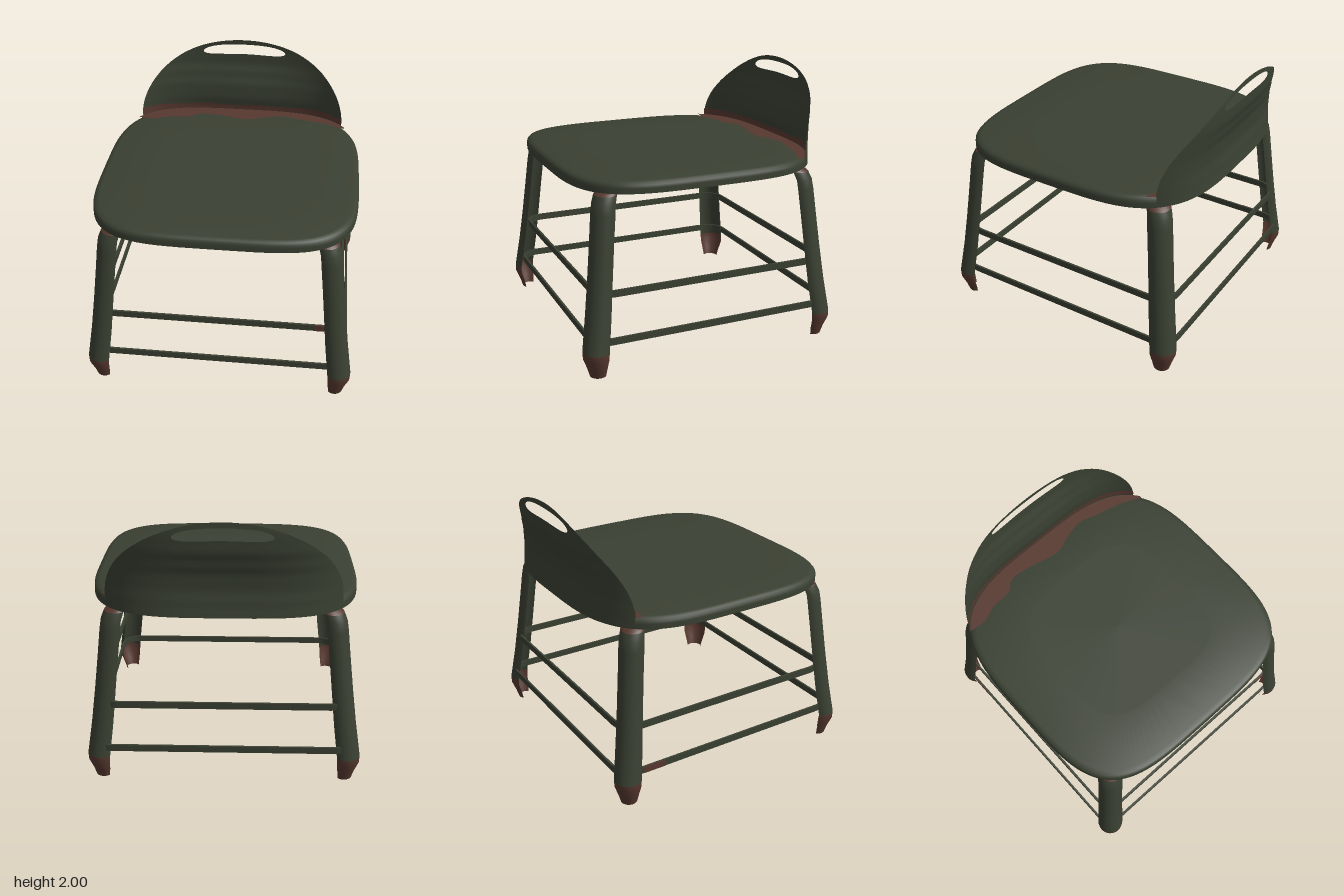
import * as THREE from 'three';
import { toCreasedNormals } from 'three/addons/utils/BufferGeometryUtils.js';

const paint = new THREE.MeshStandardMaterial({ color: 0x3a4032, side: THREE.DoubleSide });
paint.name = 'dark green paint';
const rust = new THREE.MeshStandardMaterial({ color: 0x57382f, side: THREE.DoubleSide });
rust.name = 'brown rust';

// Skin a surface over rows of [x, y, z] points
function loft(rows) {
  const n = rows[0].length, index = [];
  for (let i = 0; i < rows.length - 1; i++) {
    for (let j = 0; j < n - 1; j++) {
      const a = i * n + j, b = a + n;
      index.push(a, a + 1, b, b, a + 1, b + 1);
    }
  }
  const g = new THREE.BufferGeometry();
  g.setAttribute('position', new THREE.Float32BufferAttribute(rows.flat(2), 3));
  g.setIndex(index);
  g.computeVertexNormals();
  return g;
}

function add(parent, name, geometry, material) {
  const m = new THREE.Mesh(geometry, material);
  m.name = name;
  parent.add(m);
  return m;
}

// Rounded-square seat plan; the back corners are a little softer
function seatRing(scale, y) {
  const pts = [];
  for (let i = 0; i <= 96; i++) {
    const t = (i / 96) * Math.PI * 2, c = Math.cos(t), s = Math.sin(t);
    const e = 2 / (s > 0 ? 4 : 3.5), d = s > 0 ? 0.97 : 0.955;
    pts.push([0.98 * scale * Math.sign(c) * Math.abs(c) ** e, y, d * scale * Math.sign(s) * Math.abs(s) ** e]);
  }
  return pts;
}
const backEdge = (x, depth) => -depth * (1 - (Math.abs(x) / 0.98) ** 3.5) ** (1 / 3.5);

function makeSeat() {
  const seat = new THREE.Group();
  seat.name = 'seat';
  const skin = (list) => toCreasedNormals(loft(list.map(([s, y]) => seatRing(s, y))), 0.7);
  add(seat, 'seatPan', skin([[0.001, 1.385], [0.6, 1.385], [0.955, 1.384], [0.985, 1.376], [0.998, 1.36], [1, 1.34], [1, 1.303], [0.985, 1.303]]), paint);
  add(seat, 'rustyInnerRim', skin([[0.985, 1.303], [0.978, 1.36], [0.9, 1.364]]), rust);
  add(seat, 'seatUnderside', skin([[0.9, 1.364], [0.5, 1.366], [0.001, 1.366]]), paint);

  // Wavy rust patch along the back of the seat
  const edge = [[-0.86, -0.71], [-0.73, -0.7], [-0.6, -0.75], [-0.45, -0.76], [-0.35, -0.83], [-0.2, -0.82], [0.05, -0.77],
    [0.2, -0.82], [0.35, -0.85], [0.5, -0.81], [0.7, -0.76], [0.86, -0.69]];
  const curve = new THREE.SplineCurve(edge.map(([x, z]) => new THREE.Vector2(x, z)));
  const front = curve.getPoints(60).map((p) => [p.x, 1.388, p.y]);
  const back = front.map(([x, y, z]) => [x, y, Math.min(z, backEdge(x, 0.945))]);
  add(seat, 'seatRust', loft([front, back]), rust);
  return seat;
}

// Depth of the backrest sheet: follows the seat edge, dips forward, then leans back
const bend = [[1.3, 0], [1.4, 0.015], [1.5, 0.03], [1.6, 0.025], [1.7, 0], [1.8, -0.026], [1.9, -0.03], [2.01, -0.022]];
function backZ(x, y) {
  let i = 0;
  while (i < bend.length - 2 && y > bend[i + 1][0]) i++;
  const [y0, z0] = bend[i], [y1, z1] = bend[i + 1];
  const t = THREE.MathUtils.smoothstep(y, y0, y1);
  return backEdge(x, 0.97) + (z0 + (z1 - z0) * t) * (1 - (x / 0.84) ** 2);
}

function makeBackrest() {
  const group = new THREE.Group();
  group.name = 'backrest';
  const W = 0.835, S = 0.34, base = 1.31;
  const top = (x) => 1.4 + 0.6 * Math.sqrt(Math.max(0, 1 - (x / W) ** 2));
  const slotMid = (x) => 1.917 - 0.2 * x * x;
  const split = (slotMid(S) - base) / (top(S) - base);
  // Columns bunch up at the outer edge and at the slot ends
  const xs = [];
  for (let i = 16; i > 0; i--) xs.push(-S - (W - S) * Math.sin((i / 16) * Math.PI / 2));
  for (let i = -14; i <= 14; i++) xs.push(S * Math.sin((i / 14) * Math.PI / 2));
  for (let i = 1; i <= 16; i++) xs.push(S + (W - S) * Math.sin((i / 16) * Math.PI / 2));
  const slot = (x, side) => (Math.abs(x) >= S - 1e-6
    ? base + (top(x) - base) * split
    : slotMid(x) + side * 0.043 * Math.sqrt(1 - (x / S) ** 4));
  const sheet = (low, high, n, dz = 0) => {
    const rows = [];
    for (let j = 0; j <= n; j++) {
      rows.push(xs.map((x) => {
        const y = low(x) + (high(x) - low(x)) * (j / n);
        return [x, y, backZ(x, y) + dz];
      }));
    }
    return loft(rows);
  };
  add(group, 'backPanel', sheet(() => base, (x) => slot(x, -1), 22), paint);
  add(group, 'handleRail', sheet((x) => slot(x, 1), top, 6), paint);
  add(group, 'backRust', sheet(() => 1.386, (x) => Math.min(top(x), 1.43 + 0.012 * x * x + 0.005 * Math.sin(x * 14)), 3, 0.006), rust);
  return group;
}

// Open half-pipe leg: stops are [height, distance from centre, radius]
const foot = [[0, 0.89, 0.06], [0.06, 0.893, 0.075], [0.14, 0.902, 0.097], [0.19, 0.901, 0.1]];
const shaft = [[0.19, 0.901, 0.1], [0.45, 0.867, 0.096], [0.7, 0.84, 0.092], [0.95, 0.814, 0.09], [1.15, 0.793, 0.09], [1.22, 0.784, 0.088], [1.275, 0.765, 0.085]];
const cap = [[1.275, 0.765, 0.085], [1.3, 0.745, 0.08], [1.325, 0.71, 0.07]];

function makeLeg(name, sx, sz) {
  const leg = new THREE.Group();
  leg.name = name;
  const inset = sz < 0 ? 0.025 : 0;
  const channel = (stops) => loft(stops.map(([y, c, r]) => {
    const row = [];
    for (let i = 0; i <= 16; i++) {
      const a = -Math.PI / 4 + (i / 16) * Math.PI;
      row.push([sx * (c + r * Math.cos(a)), y, sz * (c - inset + r * Math.sin(a))]);
    }
    return row;
  }));
  add(leg, 'rustyFoot', channel(foot), rust);
  add(leg, 'legShaft', channel(shaft), paint);
  add(leg, 'rustyLegTop', channel(cap), rust);
  return leg;
}

// Flat bar bent into a rounded-square hoop
function hoopPath(target, w, d, r) {
  target.moveTo(-w + r, -d);
  target.lineTo(w - r, -d).absarc(w - r, -d + r, r, -Math.PI / 2, 0);
  target.lineTo(w, d - r).absarc(w - r, d - r, r, 0, Math.PI / 2);
  target.lineTo(-w + r, d).absarc(-w + r, d - r, r, Math.PI / 2, Math.PI);
  target.lineTo(-w, -d + r).absarc(-w + r, -d + r, r, Math.PI, Math.PI * 1.5);
  return target;
}
function makeBrace(w, d, y) {
  const t = 0.016, r = 0.15;
  const shape = hoopPath(new THREE.Shape(), w, d, r);
  shape.holes.push(hoopPath(new THREE.Path(), w - t, d - t, r - t));
  const g = new THREE.ExtrudeGeometry(shape, { depth: 0.05, bevelEnabled: false, curveSegments: 8 });
  g.rotateX(-Math.PI / 2);
  g.translate(0, y - 0.025, -0.008);
  return toCreasedNormals(g, 0.6);
}

export function createModel() {
  const chair = new THREE.Group();
  chair.name = 'metalChair';
  chair.add(makeSeat(), makeBackrest());
  for (const [side, sx] of [['Left', 1], ['Right', -1]]) {
    chair.add(makeLeg('front' + side + 'Leg', sx, 1), makeLeg('back' + side + 'Leg', sx, -1));
  }
  add(chair, 'lowerBrace', makeBrace(0.965, 0.955, 0.267), paint);
  add(chair, 'upperBrace', makeBrace(0.917, 0.91, 0.6), paint);

  // Rust spots on the braces
  add(chair, 'upperBraceRust', new THREE.BoxGeometry(0.07, 0.051, 0.006), rust).position.set(0.745, 0.6, 0.901);
  add(chair, 'lowerBraceRust', new THREE.BoxGeometry(0.006, 0.051, 0.18), rust).position.set(-0.964, 0.267, -0.69);
  return chair;
}
